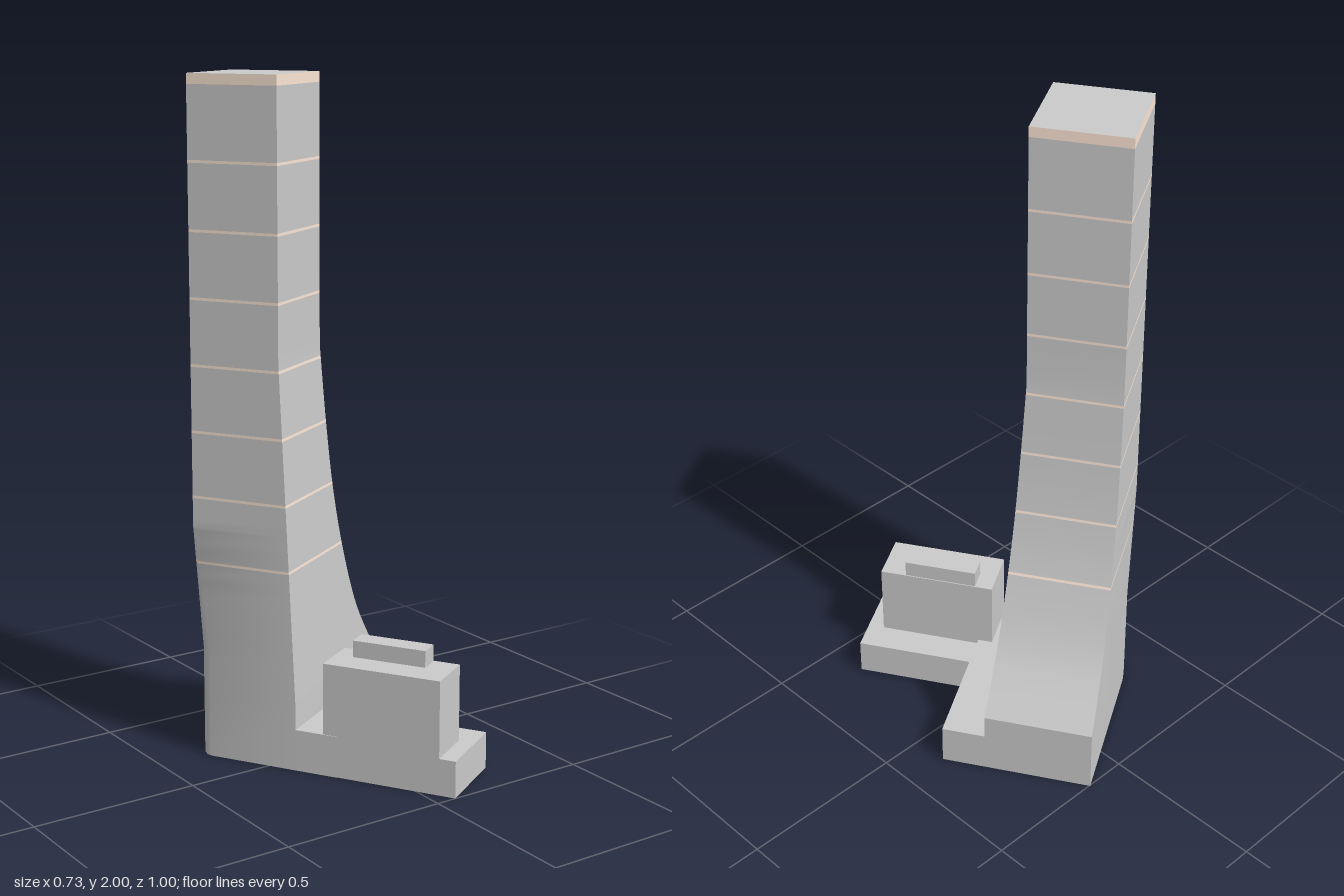
import * as THREE from 'three';
import { toCreasedNormals } from 'three/addons/utils/BufferGeometryUtils.js';

const wallMat = new THREE.MeshStandardMaterial({ color: 0xcccccc, side: THREE.DoubleSide });
const bandMat = new THREE.MeshStandardMaterial({ color: 0xffe8d6, side: THREE.DoubleSide });

const LEFT = -0.207, BACK = -0.364;

// Flared side of the tower: (offset, height), straight above and below the curve
const flare = new THREE.SplineCurve([
  [0.37, 0.2], [0.25, 0.37], [0.172, 0.56], [0.12, 0.757], [0.09, 0.97], [0.069, 1.23],
].map(([u, y]) => new THREE.Vector2(u, y))).getPoints(30);

function flareAt(y) {
  if (y <= flare[0].y) return flare[0].x;
  for (let i = 1; i < flare.length; i++) {
    const a = flare[i - 1], b = flare[i];
    if (y <= b.y) return THREE.MathUtils.mapLinear(y, a.y, b.y, a.x, b.x);
  }
  return flare[flare.length - 1].x;
}

// Horizontal outline of the tower at height y, with one back corner rounded off low down
function section(y) {
  const clamp = (v) => THREE.MathUtils.clamp(v, 0, 1);
  const front = -0.085 + 0.048 * clamp((1.2 - y) / 1.0);
  const round = clamp((0.7 - y) / 0.37);
  const right = flareAt(y);
  const pts = [[LEFT, front], [right, front], [right, BACK]];
  for (let i = 0; i <= 4; i++) {
    const a = (i / 4) * Math.PI / 2;
    pts.push([
      LEFT + 0.09 * round * (1 - Math.sin(a)),
      BACK + 0.05 * round * (1 - Math.cos(a)),
    ]);
  }
  return pts.map(([u, v]) => new THREE.Vector3(u, y, v));
}

// Skin a run of sections, optionally closing the top
function loft(heights, capTop) {
  const rings = heights.map(section);
  const pos = [];
  const tri = (...p) => {
    const area = new THREE.Triangle(...p).getArea();
    if (area > 1e-8) p.forEach((q) => pos.push(q.x, q.y, q.z));
  };
  for (let r = 0; r < rings.length - 1; r++) {
    const a = rings[r], b = rings[r + 1], n = a.length;
    for (let i = 0; i < n; i++) {
      const j = (i + 1) % n;
      tri(a[i], a[j], b[j]);
      tri(a[i], b[j], b[i]);
    }
  }
  if (capTop) {
    const t = rings[rings.length - 1];
    for (let i = 1; i < t.length - 1; i++) tri(t[0], t[i], t[i + 1]);
  }
  const g = new THREE.BufferGeometry();
  g.setAttribute('position', new THREE.Float32BufferAttribute(pos, 3));
  return toCreasedNormals(g, 0.5);
}

// Box given by its limits, open underneath
function openBox(name, u0, u1, y0, y1, v0, v1) {
  const g = new THREE.BoxGeometry(u1 - u0, y1 - y0, v1 - v0);
  const idx = Array.from(g.index.array);
  idx.splice(18, 6);
  g.setIndex(idx);
  g.clearGroups();
  const m = new THREE.Mesh(g, wallMat);
  m.name = name;
  m.position.set((u0 + u1) / 2, (y0 + y1) / 2, (v0 + v1) / 2);
  return m;
}

export function createModel() {
  const model = new THREE.Group();
  model.name = 'flaredTower';
  const building = new THREE.Group();
  building.name = 'building';
  building.rotation.y = THREE.MathUtils.degToRad(31);
  model.add(building);

  // Tower walls split by thin pale bands
  const tower = new THREE.Group();
  tower.name = 'tower';
  building.add(tower);
  const addPart = (name, y0, y1, mat, cap) => {
    const inner = [0.2, 0.33, 0.7, 1.2, ...flare.map((p) => p.y)]
      .filter((y) => y > y0 + 0.002 && y < y1 - 0.002);
    const heights = [...new Set([y0, ...inner, y1])].sort((a, b) => a - b);
    const m = new THREE.Mesh(loft(heights, cap), mat);
    m.name = name;
    tower.add(m);
  };
  let y = 0;
  for (const b of [0.595, 0.79, 0.983, 1.177, 1.37, 1.563, 1.757]) {
    addPart('towerWall', y, b - 0.004, wallMat, false);
    addPart('floorBand', b - 0.004, b + 0.004, bandMat, false);
    y = b + 0.004;
  }
  addPart('towerWall', y, 1.97, wallMat, false);
  addPart('parapetBand', 1.97, 2, bandMat, false);
  // Roof
  const roof = new THREE.Mesh(new THREE.PlaneGeometry(0.069 - LEFT, -0.085 - BACK), wallMat);
  roof.name = 'roof';
  roof.rotation.x = -Math.PI / 2;
  roof.position.set((0.069 + LEFT) / 2, 2, (-0.085 + BACK) / 2);
  tower.add(roof);

  // Low blocks in front of the tower
  building.add(
    openBox('frontPlinth', LEFT, 0.37, 0, 0.125, -0.037, 0.095),
    openBox('lowWing', -0.205, 0.043, 0, 0.11, 0.095, 0.46),
    openBox('tallWing', -0.205, -0.05, 0.11, 0.34, 0.05, 0.41),
    openBox('roofUnit', -0.117, -0.053, 0.34, 0.39, 0.105, 0.33),
  );
  return model;
}
